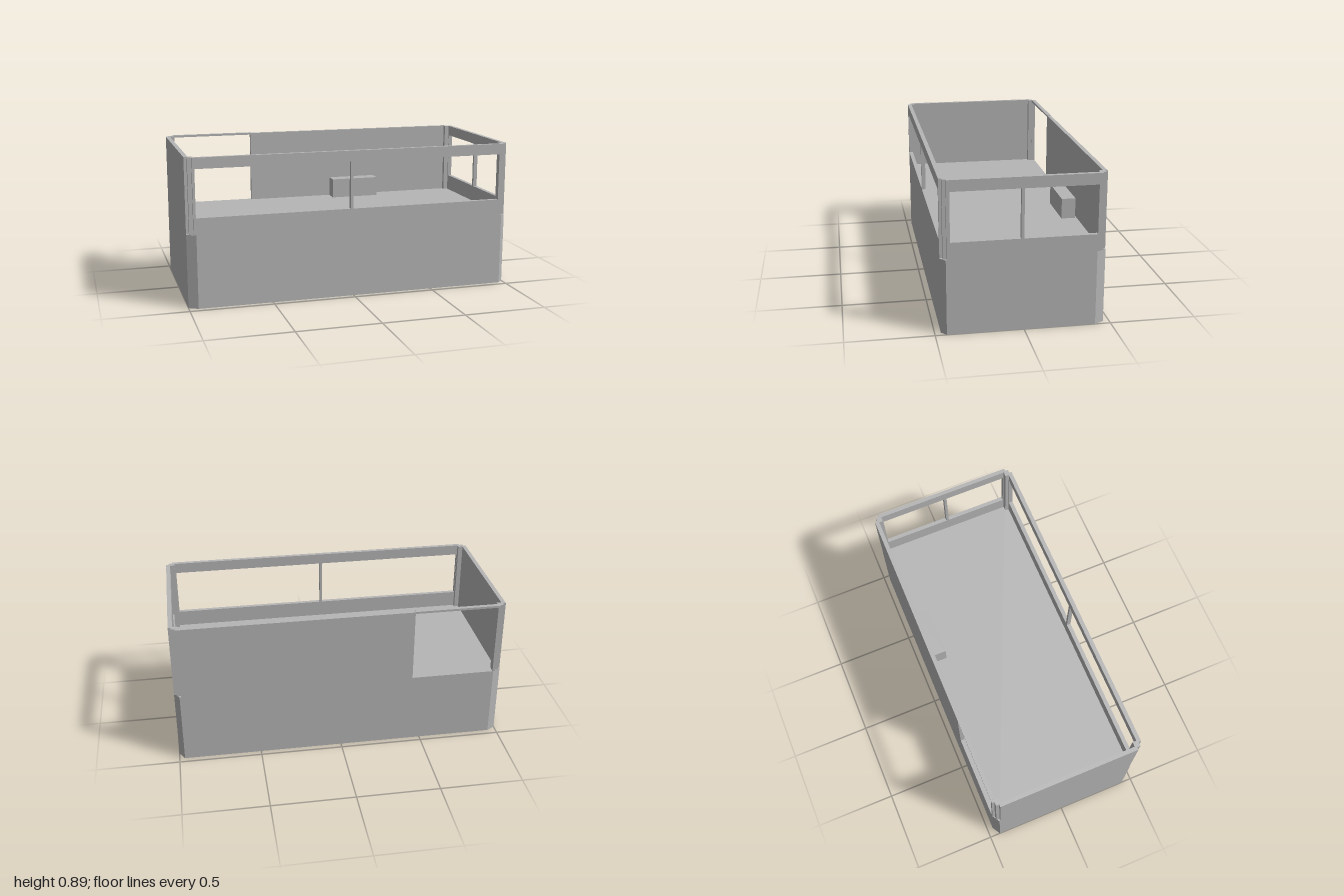
import * as THREE from 'three';

const FLOOR = 0.44, TOP = 0.89, WALL = 0.025;
const SILL = 0.54, HEAD = 0.825;

const shell = new THREE.MeshStandardMaterial({ color: 0xb6b6b6 });
shell.name = 'plain grey';

function polygon(points) {
  return new THREE.Shape(points.map(([x, y]) => new THREE.Vector2(x, y)));
}

function rectangle(x0, x1, y0, y1) {
  return polygon([[x0, y0], [x1, y0], [x1, y1], [x0, y1]]);
}

// Upright panel in the xy plane with rectangular window openings
function wallGeometry(half, windows = []) {
  const shape = rectangle(-half, half, FLOOR, TOP);
  for (const [a, b] of windows) shape.holes.push(rectangle(a, b, SILL, HEAD));
  return new THREE.ExtrudeGeometry(shape, { depth: WALL, bevelEnabled: false });
}

export function createModel() {
  const model = new THREE.Group();
  model.name = 'cabin';

  const add = (name, geometry) => {
    const mesh = new THREE.Mesh(geometry, shell);
    mesh.name = name;
    model.add(mesh);
  };
  const addBox = (name, x0, x1, y0, y1, z0, z1) => {
    const g = new THREE.BoxGeometry(x1 - x0, y1 - y0, z1 - z0);
    add(name, g.translate((x0 + x1) / 2, (y0 + y1) / 2, (z0 + z1) / 2));
  };

  // Solid lower body, its four corners cut at slightly different angles
  const outline = polygon([
    [-0.945, 0.465], [-1, 0.435], [-1, -0.435], [-0.95, -0.465],
    [0.968, -0.465], [1, -0.41], [1, 0.435], [0.967, 0.465],
  ]);
  const base = new THREE.ExtrudeGeometry(outline, { depth: FLOOR, bevelEnabled: false });
  add('lowerBody', base.rotateX(Math.PI / 2).translate(0, FLOOR, 0));

  // Front wall with two long windows
  add('frontWall', wallGeometry(0.96, [[-0.945, -0.02], [-0.005, 0.94]])
    .translate(0, 0, 0.465 - WALL));

  // Left wall with two windows, right wall closed
  add('leftWall', wallGeometry(0.43, [[-0.41, -0.02], [-0.003, 0.41]])
    .rotateY(Math.PI / 2).translate(1 - WALL, 0, 0));
  add('rightWall', wallGeometry(0.43).rotateY(Math.PI / 2).translate(-1, 0, 0));

  // Back wall with a wide doorway under a thin rail
  addBox('backWall', -0.44, 0.96, FLOOR, TOP, -0.465, -0.44);
  addBox('doorJamb', -0.96, -0.945, FLOOR, TOP, -0.465, -0.44);
  addBox('doorRail', -0.945, -0.44, 0.88, 0.893, -0.465, -0.44);

  // Stepped posts joining the walls at the corners
  for (const sx of [-1, 1]) {
    for (const sz of [-1, 1]) {
      const post = new THREE.BoxGeometry(0.037, TOP - FLOOR, 0.033);
      add('cornerPost', post.translate(sx * 0.965, (TOP + FLOOR) / 2, sz * 0.433));
    }
  }

  // Small cabinet against the back wall
  addBox('cabinet', 0.105, 0.418, FLOOR, 0.565, -0.43, -0.345);

  return model;
}
